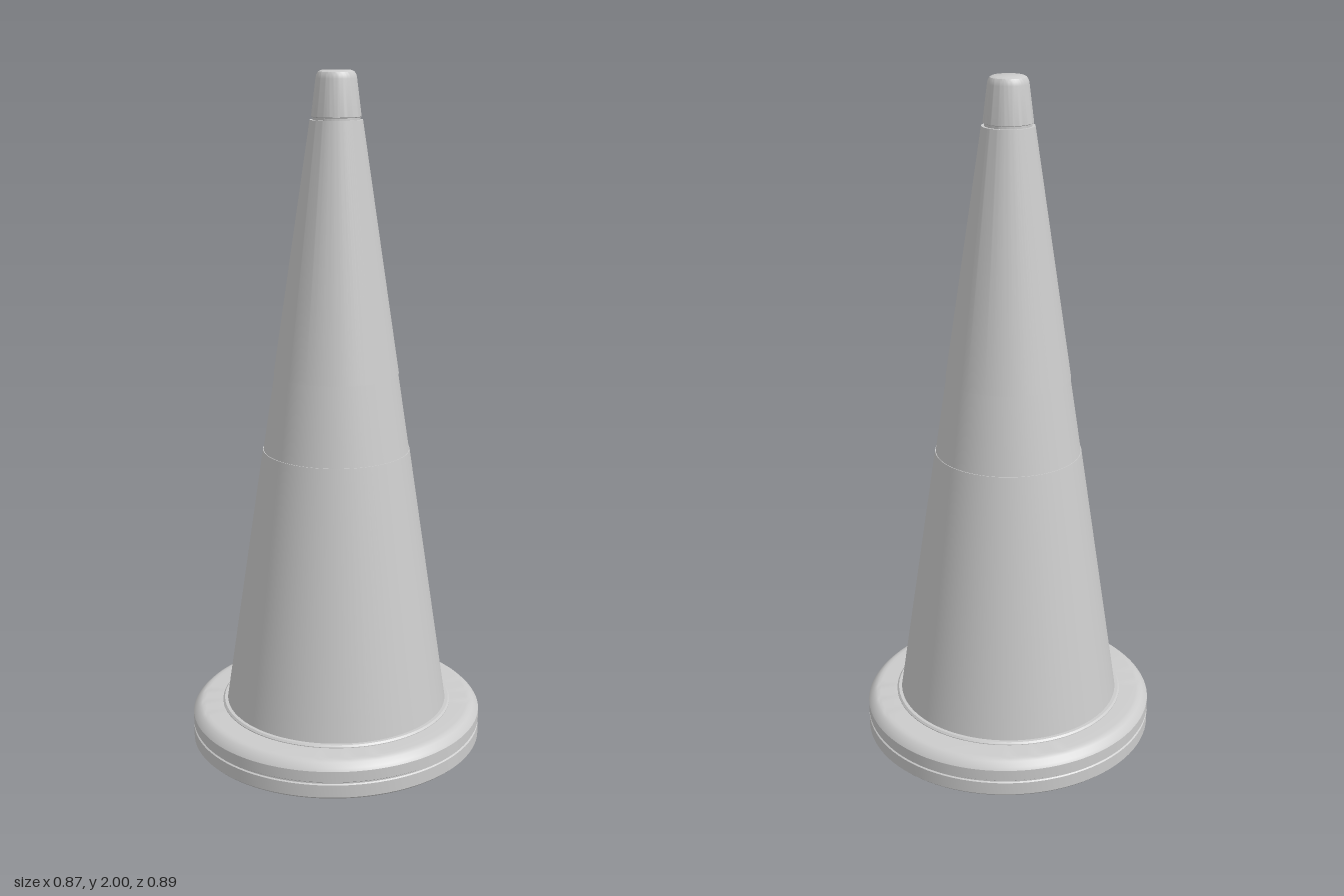
import * as THREE from 'three';
import { toCreasedNormals } from 'three/addons/utils/BufferGeometryUtils.js';

const material = new THREE.MeshStandardMaterial({ color: 0xcccccc });

// Radius of the tapering cone at a given height
const coneRadius = (y) => 0.335 - ((y - 0.115) * 0.26) / 1.75;

// Revolved part from [radius, height] pairs, walked upwards on the outside
function turned(name, profile) {
  const points = profile.map(([r, y]) => new THREE.Vector2(r, y));
  const geometry = toCreasedNormals(new THREE.LatheGeometry(points, 96), 0.5);
  const mesh = new THREE.Mesh(geometry, material);
  mesh.name = name;
  return mesh;
}

// Hollow conical shell between two heights
function shell(name, y0, y1, inset = 0) {
  const r0 = coneRadius(y0) - inset, r1 = coneRadius(y1) - inset, wall = 0.02;
  return turned(name, [
    [r0 - wall, y0], [r0, y0], [r1, y1], [r1 - wall, y1], [r0 - wall, y0],
  ]);
}

export function createModel() {
  const model = new THREE.Group();
  model.name = 'trafficCone';

  // Round foot ring with a fine groove and softened upper rim
  const base = turned('base', [
    [0.312, 0], [0.429, 0], [0.435, 0.006], [0.435, 0.044], [0.431, 0.047],
    [0.431, 0.051], [0.435, 0.054], [0.435, 0.086], [0.43, 0.094], [0.418, 0.106],
    [0.408, 0.111], [0.398, 0.112], [0.312, 0.112], [0.312, 0],
  ]);
  base.scale.z = 0.445 / 0.435;
  model.add(base);

  // Small collar where the cone meets the foot
  model.add(turned('collar', [
    [0.315, 0.1], [0.349, 0.1], [0.349, 0.114], [0.344, 0.119], [0.315, 0.119], [0.315, 0.1],
  ]));

  // Cone body in three sections, the middle one a slightly recessed band
  model.add(shell('lowerCone', 0.1, 0.91));
  model.add(shell('middleBand', 0.91, 1.14, 0.002));
  model.add(shell('upperCone', 1.14, 1.865));

  // Tip with a narrow neck, rounded top and closed underside
  model.add(turned('tip', [
    [0, 1.85], [0.067, 1.85], [0.067, 1.872], [0.071, 1.874], [0.058, 1.978],
    [0.056, 1.988], [0.051, 1.996], [0.043, 2], [0, 2],
  ]));

  return model;
}
